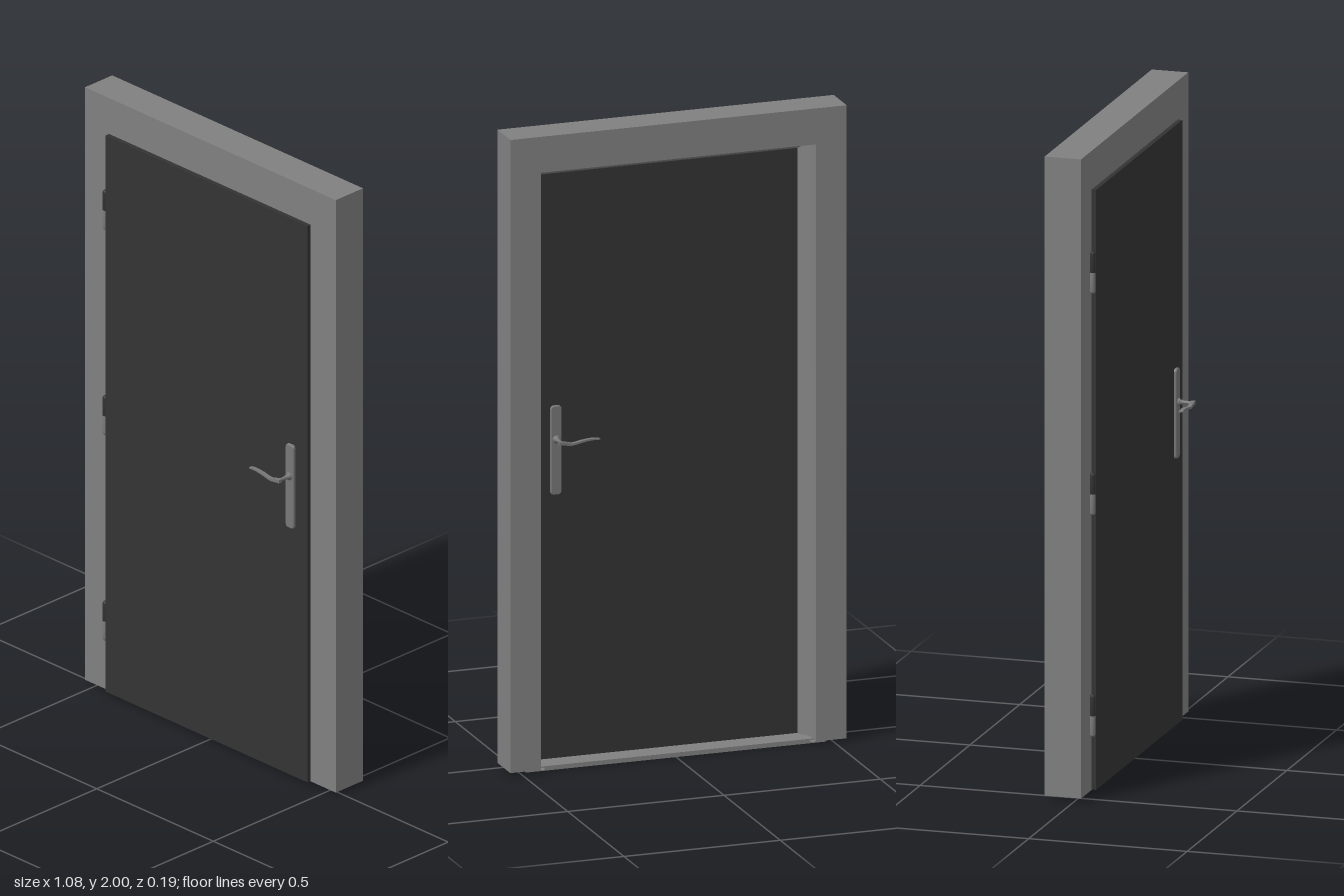
import * as THREE from 'three';

const mat = (color, side = THREE.FrontSide) => new THREE.MeshStandardMaterial({ color, side });
const frameMat = mat(0x808080);
const jambMat = mat(0x808080, THREE.DoubleSide);
const leafMat = mat(0x333333);
const metalMat = mat(0x777777);

function add(parent, name, geometry, material, x = 0, y = 0, z = 0) {
  const mesh = new THREE.Mesh(geometry, material);
  mesh.name = name;
  mesh.position.set(x, y, z);
  parent.add(mesh);
  return mesh;
}

// box given by its limits
function block(parent, name, material, x0, x1, y0, y1, z0, z1) {
  return add(parent, name, new THREE.BoxGeometry(x1 - x0, y1 - y0, z1 - z0), material,
    (x0 + x1) / 2, (y0 + y1) / 2, (z0 + z1) / 2);
}

const BACK = -0.095, FRONT = 0.02, BASE = 0.01, TOP = 2, HALF = 0.538;

// opening profile from back to front: [half width, top height, z]
const opening = [
  [0.44, 1.887, BACK], [0.437, 1.884, -0.055], [0.428, 1.873, -0.03],
  [0.413, 1.856, -0.012], [0.413, 1.856, FRONT],
];

// U-shaped flat face of the frame, facing +z or -z
function faceGeometry([w, h]) {
  const s = new THREE.Shape();
  [[-HALF, BASE], [-w, BASE], [-w, h], [w, h], [w, BASE], [HALF, BASE], [HALF, TOP], [-HALF, TOP]]
    .forEach(([x, y], i) => (i ? s.lineTo(x, y) : s.moveTo(x, y)));
  return new THREE.ShapeGeometry(s);
}

// one lining strip of the opening, smooth along its depth
function liningGeometry(edge) {
  const pos = [], idx = [];
  opening.forEach(([w, h, z], i) => {
    const [a, b] = edge(w, h);
    pos.push(...a, z, ...b, z);
    if (i) {
      const k = 2 * i;
      idx.push(k - 2, k - 1, k, k - 1, k + 1, k);
    }
  });
  const g = new THREE.BufferGeometry();
  g.setAttribute('position', new THREE.Float32BufferAttribute(pos, 3));
  g.setIndex(idx);
  g.computeVertexNormals();
  return g;
}

function plane(parent, name, w, h, x, y, z, rx, ry) {
  add(parent, name, new THREE.PlaneGeometry(w, h), jambMat, x, y, z).rotation.set(rx, ry, 0);
}

function buildFrame() {
  const frame = new THREE.Group();
  frame.name = 'doorFrame';
  const depth = FRONT - BACK, zMid = (FRONT + BACK) / 2;
  add(frame, 'frameFront', faceGeometry(opening[4]), jambMat, 0, 0, FRONT);
  add(frame, 'frameBack', faceGeometry(opening[0]), jambMat, 0, 0, BACK);
  plane(frame, 'frameTop', 2 * HALF, depth, 0, TOP, zMid, -Math.PI / 2, 0);
  for (const s of [-1, 1]) {
    plane(frame, 'frameSide', depth, TOP - BASE, s * HALF, (TOP + BASE) / 2, zMid, 0, s * Math.PI / 2);
    plane(frame, 'frameFoot', HALF - 0.425, depth, s * (HALF + 0.425) / 2, BASE, zMid, Math.PI / 2, 0);
  }
  // strips are wound so that they face into the opening
  add(frame, 'jambLeft', liningGeometry((w, h) => [[w, BASE], [w, h]]), jambMat);
  add(frame, 'jambRight', liningGeometry((w, h) => [[-w, h], [-w, BASE]]), jambMat);
  add(frame, 'head', liningGeometry((w, h) => [[w, h], [-w, h]]), jambMat);
  return frame;
}

// rounded plate, lever and neck; built for the front, mirrored for the back
function buildHandle(name, z, dir) {
  const handle = new THREE.Group();
  handle.name = name;
  const r = 0.0145, half = 0.137;
  const s = new THREE.Shape();
  const c = 0.009;
  s.moveTo(-r + c, -half);
  s.lineTo(r - c, -half);
  s.quadraticCurveTo(r, -half, r, -half + c);
  s.lineTo(r, half - c);
  s.quadraticCurveTo(r, half, r - c, half);
  s.lineTo(-r + c, half);
  s.quadraticCurveTo(-r, half, -r, half - c);
  s.lineTo(-r, -half + c);
  s.quadraticCurveTo(-r, -half, -r + c, -half);
  const plate = new THREE.ExtrudeGeometry(s, {
    depth: 0.005, bevelThickness: 0.004, bevelSize: 0.003, bevelSegments: 3, curveSegments: 6,
  });
  add(handle, 'handlePlate', plate, metalMat, 0, -0.035, 0);

  const neck = new THREE.LatheGeometry([
    [0.0125, 0], [0.0125, 0.012], [0.008, 0.015], [0.007, 0.024], [0.0055, 0.026], [0.0055, 0.05],
  ].map(([x, y]) => new THREE.Vector2(x, y)), 20);
  add(handle, 'handleNeck', neck, metalMat).rotation.x = Math.PI / 2;

  // wavy flat grip, extruded across its width
  const upper = [[0.008, 0.006], [-0.012, 0.003], [-0.035, -0.002], [-0.065, 0.003], [-0.095, 0.006], [-0.122, 0.004]];
  const lower = [[-0.122, 0.001], [-0.095, 0.001], [-0.065, -0.003], [-0.035, -0.009], [-0.012, -0.007], [0.008, -0.005]];
  const vec = (list) => list.map(([x, y]) => new THREE.Vector2(x, y));
  const grip = new THREE.Shape();
  grip.moveTo(...upper[0]);
  grip.splineThru(vec(upper.slice(1)));
  grip.lineTo(...lower[0]);
  grip.splineThru(vec(lower.slice(1)));
  const gripGeo = new THREE.ExtrudeGeometry(grip, { depth: 0.013, bevelEnabled: false, curveSegments: 20 });
  add(handle, 'lever', gripGeo, metalMat, 0, 0, 0.047);

  handle.position.set(0.363, 1.02, z);
  handle.scale.z = dir;
  return handle;
}

function buildHinge(y) {
  const hinge = new THREE.Group();
  hinge.name = 'hinge';
  const pin = (name, material, dir) => {
    const pts = [[0, 0], [0.0095, 0], [0.0095, 0.058], [0.007, 0.064], [0, 0.066]];
    const g = new THREE.LatheGeometry(pts.map(([x, py]) => new THREE.Vector2(x, py)), 16);
    const m = add(hinge, name, g, material);
    if (dir < 0) m.rotation.x = Math.PI;
  };
  pin('hingeUpper', leafMat, 1);
  pin('hingeLower', metalMat, -1);
  hinge.position.set(-0.443, y, 0.0265);
  return hinge;
}

export function createModel() {
  const door = new THREE.Group();
  door.name = 'door';
  door.add(buildFrame());

  // leaf with a lip that overlaps the frame at the front
  const leaf = new THREE.Group();
  leaf.name = 'doorLeaf';
  block(leaf, 'leafLip', leafMat, -0.434, 0.431, 0.012, 1.88, 0.0205, 0.035);
  block(leaf, 'leafBody', leafMat, -0.411, 0.411, 0.016, 1.854, -0.01, 0.0205);
  leaf.add(buildHandle('frontHandle', 0.035, 1), buildHandle('backHandle', -0.01, -1));
  door.add(leaf);

  for (const y of [1.625, 0.935, 0.245]) door.add(buildHinge(y));

  // sill between and under the jambs
  block(door, 'threshold', frameMat, -0.48, 0.48, 0, 0.014, -0.075, 0.005);
  return door;
}
